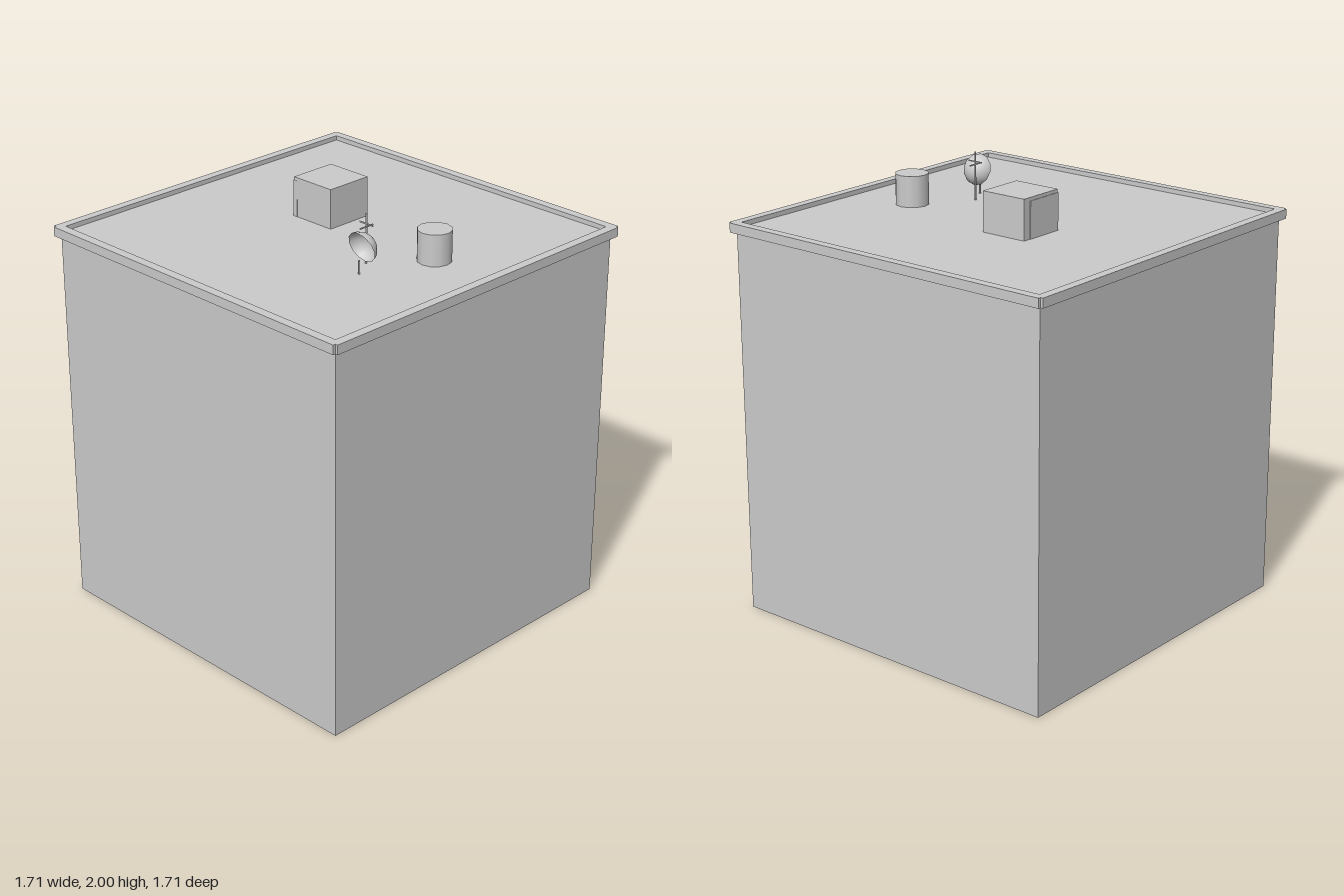
import * as THREE from 'three';

const grey = new THREE.MeshStandardMaterial({ color: 0xcccccc });
const greyThin = new THREE.MeshStandardMaterial({ color: 0xcccccc, side: THREE.DoubleSide });
const ROOF = 1.78;

export function createModel() {
  const model = new THREE.Group();
  model.name = 'building';

  const add = (name, geometry, x, y, z, parent = model, material = grey) => {
    const mesh = new THREE.Mesh(geometry, material);
    mesh.name = name;
    mesh.position.set(x, y, z);
    parent.add(mesh);
    return mesh;
  };
  const box = (name, w, h, d, x, y, z, parent) =>
    add(name, new THREE.BoxGeometry(w, h, d), x, y, z, parent);

  // main block
  box('body', 1.66, ROOF, 1.66, 0, ROOF / 2, 0);

  // parapet: four overlapping rails that leave small notched corners
  const parapet = new THREE.Group();
  parapet.name = 'parapet';
  model.add(parapet);
  for (const side of [-1, 1]) {
    box('parapetRailX', 1.69, 0.042, 0.042, 0, 1.78, side * 0.836, parapet);
    box('parapetRailZ', 0.042, 0.042, 1.69, side * 0.836, 1.78, 0, parapet);
  }

  // roof access hut with a door panel on its -x side
  box('roofHut', 0.224, 0.18, 0.224, -0.142, ROOF + 0.09, -0.11);
  box('hutDoor', 0.022, 0.165, 0.185, -0.246, ROOF + 0.0825, -0.089);

  // water tank
  add('waterTank', new THREE.CylinderGeometry(0.075, 0.075, 0.14, 12), 0.515, ROOF + 0.07, -0.062);

  // satellite dish: open bowl facing forward and slightly down, on a short post
  const dish = new THREE.Group();
  dish.name = 'satelliteDish';
  dish.position.set(0.4, 1.893, 0.251);
  model.add(dish);
  const theta = THREE.MathUtils.degToRad(78);
  const R = 0.074;
  const bowl = new THREE.SphereGeometry(R, 12, 8, 0, Math.PI * 2, 0, theta);
  bowl.translate(0, -R * Math.cos(theta), 0);
  bowl.rotateX(-Math.PI / 2 + THREE.MathUtils.degToRad(19));
  add('dishBowl', bowl, 0, 0, 0, dish, greyThin);
  add('dishPost', new THREE.CylinderGeometry(0.004, 0.004, 0.06, 8), 0.4, ROOF + 0.03, 0.265);

  // antenna mast with two crossed bars
  add('antennaMast', new THREE.CylinderGeometry(0.004, 0.004, 0.22, 8), 0.34, ROOF + 0.11, 0.163);
  box('antennaBarX', 0.076, 0.005, 0.005, 0.34, 1.955, 0.163);
  box('antennaBarZ', 0.005, 0.005, 0.076, 0.34, 1.942, 0.163);

  return model;
}
